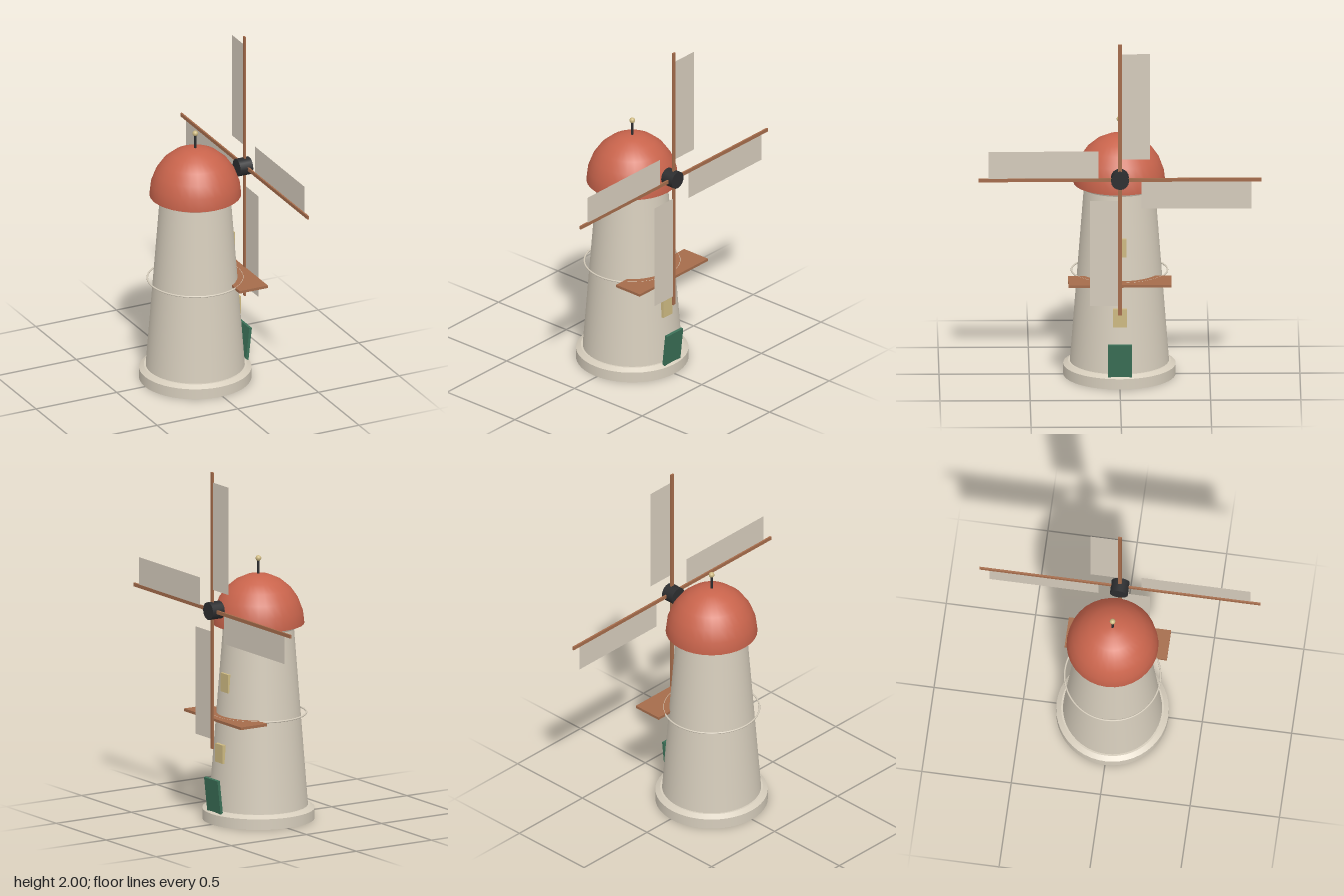
import * as THREE from 'three';

const mat = (name, color, side = THREE.FrontSide) => {
  const m = new THREE.MeshStandardMaterial({ color, side });
  m.name = name;
  return m;
};

export function createModel() {
  const stone = mat('stone', 0xd6cdbc);
  const canvas = mat('canvas', 0xd4cabb, THREE.DoubleSide);
  const red = mat('roof red', 0xc9644c);
  const wood = mat('wood', 0xa56c4b);
  const iron = mat('iron', 0x2c2d2f);
  const green = mat('door green', 0x3b7057);
  const sand = mat('sand', 0xcdb981);

  const model = new THREE.Group();
  model.name = 'windmill';
  const add = (parent, name, geometry, material, x = 0, y = 0, z = 0) => {
    const m = new THREE.Mesh(geometry, material);
    m.name = name;
    m.position.set(x, y, z);
    parent.add(m);
    return m;
  };
  const cx = -0.013; // tower axis

  // Tower body
  const cyl = (rTop, rBottom, h, n = 48) => new THREE.CylinderGeometry(rTop, rBottom, h, n);
  add(model, 'foundation', cyl(0.312, 0.312, 0.06), stone, cx, 0.03);
  add(model, 'foundationBevel', cyl(0.285, 0.312, 0.018), stone, cx, 0.069);
  add(model, 'tower', cyl(0.196, 0.275, 1.02), stone, cx, 0.585);
  add(model, 'capRing', cyl(0.224, 0.215, 0.02), stone, cx, 1.098);

  // Domed cap with a closed underside
  const dome = new THREE.SphereGeometry(0.255, 32, 6, 0, Math.PI * 2, 0, Math.PI / 2);
  dome.scale(1, 1.1, 1);
  add(model, 'dome', dome, red, cx, 1.108);
  add(model, 'domeUnderside', new THREE.CircleGeometry(0.255, 32).rotateX(Math.PI / 2), red, cx, 1.108);
  add(model, 'finialPost', cyl(0.007, 0.007, 0.09, 12), iron, cx, 1.425);
  add(model, 'finialBall', new THREE.SphereGeometry(0.016, 16, 12), sand, cx, 1.475);

  // Balcony platform and hoop
  add(model, 'balcony', new THREE.BoxGeometry(0.175, 0.015, 0.572), wood, 0.206, 0.597);
  const hoop = new THREE.TorusGeometry(0.266, 0.005, 8, 64).rotateX(Math.PI / 2);
  add(model, 'balconyHoop', hoop, stone, cx, 0.6);

  // Windows and leaning door on the sail side
  for (const [x, y] of [[0.238, 0.397], [0.202, 0.793]]) {
    add(model, 'window', new THREE.BoxGeometry(0.025, 0.105, 0.076), sand, x, y);
  }
  const door = add(model, 'door', new THREE.BoxGeometry(0.016, 0.192, 0.134), green, 0.286, 0.163);
  door.rotation.z = -0.11;

  // Sail wheel
  const wheel = new THREE.Group();
  wheel.name = 'sailWheel';
  wheel.position.set(0.293, 1.215, 0);
  model.add(wheel);
  add(wheel, 'hub', cyl(0.05, 0.05, 0.078, 16).rotateZ(Math.PI / 2), iron, -0.01);
  for (let i = 0; i < 4; i++) {
    const blade = new THREE.Group();
    blade.name = 'blade';
    blade.rotation.x = i * Math.PI / 2;
    add(blade, 'arm', new THREE.BoxGeometry(0.01, 0.785, 0.02), wood, 0, 0.3925);
    add(blade, 'sail', new THREE.PlaneGeometry(0.163, 0.61).rotateY(Math.PI / 2), canvas, 0.004, 0.425, -0.0845);
    wheel.add(blade);
  }
  return model;
}
